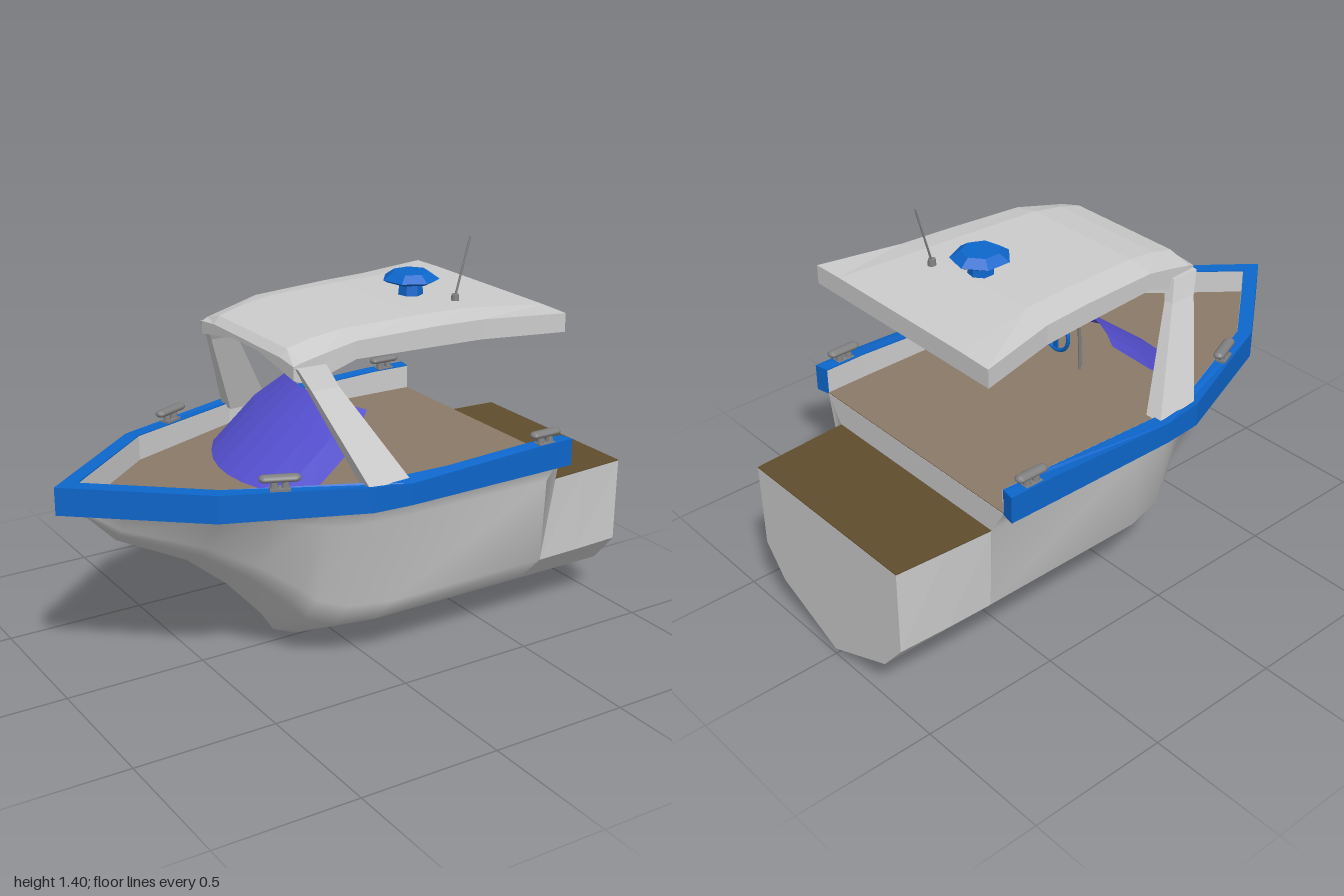
import * as THREE from 'three';

const GREY = 0xcccccc, METAL = 0x808080, BLUE = 0x0d66cb, DECK = 0x8a7a68, TEAK = 0x5f4d2d, GLASS = 0x5550d0;

function part(parent, name, geometry, color, flat = true) {
  const material = new THREE.MeshStandardMaterial({ color, flatShading: flat, side: THREE.DoubleSide });
  const mesh = new THREE.Mesh(geometry, material);
  mesh.name = name;
  parent.add(mesh);
  return mesh;
}

// Skin over a row of cross-sections, each a list of [x, y, z]
function loft(sections, { closed = true, caps = true } = {}) {
  const n = sections[0].length, pos = sections.flat(2), index = [];
  for (let s = 0; s < sections.length - 1; s++) {
    for (let i = 0; i < (closed ? n : n - 1); i++) {
      const a = s * n + i, b = s * n + (i + 1) % n;
      index.push(a, b, a + n, b, b + n, a + n);
    }
  }
  if (caps) {
    const start = pos.length / 3, end = start + n;
    pos.push(...sections[0].flat(), ...sections.at(-1).flat());
    for (let i = 1; i < n - 1; i++) {
      index.push(start, start + i + 1, start + i, end, end + i, end + i + 1);
    }
  }
  const g = new THREE.BufferGeometry();
  g.setAttribute('position', new THREE.Float32BufferAttribute(pos, 3));
  g.setIndex(index);
  g.computeVertexNormals();
  return g;
}

// Half profile [y, z] from top to bottom, mirrored into a full section at x
function mirrored(x, half) {
  const left = half.map(([y, z]) => [x, y, z]);
  const right = half.filter(([, z]) => z > 0).reverse().map(([y, z]) => [x, y, -z]);
  return [...left, ...right];
}

// Flat outline in x and z, extruded downwards from y = 0
function slab(points, depth) {
  const shape = new THREE.Shape(points.map(([x, z]) => new THREE.Vector2(x, z)));
  const g = new THREE.ExtrudeGeometry(shape, { depth, bevelEnabled: false });
  return g.rotateX(Math.PI / 2);
}

const OUTER = [[-1, 0], [-0.6, 0.33], [-0.14, 0.51], [0, 0.52], [0.5, 0.513], [0.66, 0.51]];
const INNER = [[-0.92, 0], [-0.57, 0.29], [-0.13, 0.46], [0, 0.465], [0.5, 0.463], [0.65, 0.46]];
const bothSides = (half) => [...half.slice(1).reverse().map(([x, z]) => [x, -z]), ...half];
const railTop = (x) => (x > -0.2 && x < -0.1 ? 0.735 : x > -0.05 && x < 0.1 ? 0.725 : 0.745);

function addHull(boat) {
  // Stations: x, keel height, half width at the rail, sharpness of the V
  const stations = [
    [-0.92, 0.645, 0.005, 1], [-0.8, 0.52, 0.1, 1], [-0.55, 0.39, 0.3, 0.9], [-0.4, 0.265, 0.355, 0.7],
    [-0.27, 0.12, 0.405, 0.45], [-0.22, 0.045, 0.42, 0.35], [-0.13, 0.006, 0.455, 0.2], [0.02, 0, 0.46, 0],
    [0.65, 0, 0.46, 0],
  ];
  const rows = [[1, 1, 1], [0.855, 0.87, 0.8], [0.385, 0.835, 0.5], [0.215, 0.61, 0.32], [0, 0, 0]];
  const sections = stations.map(([x, keel, w, v]) => mirrored(x, rows.map(([h, full, sharp]) =>
    [keel + (0.652 - keel) * h, w * THREE.MathUtils.lerp(full, sharp, v)])));
  part(boat, 'hull', loft(sections, { closed: false }), GREY, false);

  // Stern extension with a swim platform on top
  const stern = [[0.65, 0, 0.398, 0.384], [0.82, 0.004, 0.388, 0.38], [1, 0.02, 0.374, 0.372]].map(([x, keel, top, bilge]) =>
    mirrored(x, [[0.553, top], [0.25, bilge], [0.14, 0.28], [keel, 0]]));
  part(boat, 'sternExtension', loft(stern, { closed: false }), GREY);
  part(boat, 'swimPlatform', slab([[0.65, -0.398], [1, -0.374], [1, 0.374], [0.65, 0.398]], 0.003), TEAK).position.y = 0.556;

  part(boat, 'deck', slab(bothSides(INNER), 0.004), DECK).position.y = 0.657;

  // Gunwale band, dipping slightly amidships
  const band = slab([...bothSides(OUTER), ...bothSides(INNER).reverse()], 0.095).translate(0, 0.745, 0);
  const p = band.attributes.position;
  for (let i = 0; i < p.count; i++) if (p.getY(i) > 0.7) p.setY(i, railTop(p.getX(i)));
  band.computeVertexNormals();
  part(boat, 'gunwale', band, BLUE);

  const liner = [0.655, null].map((y) => bothSides(INNER).map(([x, z]) =>
    [x + (z ? 0 : 0.004), y ?? railTop(x) - 0.002, z * 0.994]));
  part(boat, 'bulwarkLiner', loft(liner, { closed: false, caps: false }), GREY);
}

function addCanopy(boat) {
  // Stations: x, half width, crown, edge, lower edge, underside
  const roof = [
    [-0.31, 0.305, 1.115, 1.105, 1.06, 1.1], [-0.285, 0.31, 1.14, 1.115, 1.05, 1.1],
    [-0.2, 0.315, 1.162, 1.135, 1.06, 1.1], [-0.09, 0.325, 1.178, 1.16, 1.1, 1.102],
    [0.2, 0.345, 1.184, 1.168, 1.1, 1.1], [0.38, 0.36, 1.183, 1.168, 1.1, 1.1], [0.67, 0.43, 1.166, 1.163, 1.098, 1.098],
  ].map(([x, w, crown, edge, low, under]) =>
    mirrored(x, [[crown, 0], [crown, w * 0.72], [edge, w], [low, w], [under, 0.2], [under, 0]]));
  part(boat, 'canopy', loft(roof), GREY);

  for (const s of [1, -1]) {
    const leg = [[0.72, -0.14, 0.015, 0.43, 0.495], [1.03, -0.27, -0.17, 0.315, 0.35], [1.1, -0.305, -0.2, 0.275, 0.325]]
      .map(([y, x0, x1, z0, z1]) => [[x1, y, s * z1], [x1, y, s * z0], [x0, y, s * z0], [x0, y, s * z1]]);
    part(boat, s > 0 ? 'leftCanopyLeg' : 'rightCanopyLeg', loft(leg), GREY);
  }
}

function addHelm(boat) {
  // Raked windshield, bowed towards the bow
  const glass = [[-0.385, -0.27, 0.66, 0.66, 0.32], [-0.21, -0.1, 0.8, 0.8, 0.32], [-0.08, 0, 0.905, 0.893, 0.25]]
    .map(([xc, xe, yc, ye, w]) => Array.from({ length: 9 }, (_, i) => {
      const u = i / 4 - 1;
      return [xc + (xe - xc) * u * u, yc + (ye - yc) * u * u, w * u];
    }));
  part(boat, 'windshield', loft(glass, { closed: false, caps: false }), GLASS);

  const wheel = new THREE.Group();
  wheel.name = 'steeringWheel';
  wheel.position.set(0.025, 0.845, 0);
  wheel.rotation.y = Math.PI / 2;
  part(wheel, 'rim', new THREE.TorusGeometry(0.062, 0.007, 8, 28), BLUE, false);
  part(wheel, 'hub', new THREE.CylinderGeometry(0.016, 0.016, 0.014, 14).rotateX(Math.PI / 2), BLUE);
  for (let i = 0; i < 3; i++) {
    const spoke = new THREE.BoxGeometry(0.02, 0.056, 0.006).translate(0, 0.032, 0);
    part(wheel, 'spoke', spoke.rotateZ(Math.PI / 2 + i * Math.PI * 2 / 3 - Math.PI / 6), BLUE);
  }
  boat.add(wheel);

  const path = new THREE.CatmullRomCurve3([[0.025, 0.845], [-0.03, 0.865], [-0.075, 0.835], [-0.085, 0.76], [-0.085, 0.655]]
    .map(([x, y]) => new THREE.Vector3(x, y, 0)));
  part(boat, 'steeringColumn', new THREE.TubeGeometry(path, 20, 0.006, 8), METAL, false);
}

function addRoofGear(boat) {
  const dome = [[0, 0], [0.045, 0], [0.04, 0.05], [0.082, 0.05], [0.1, 0.06], [0.065, 0.084], [0, 0.084]]
    .map(([r, y]) => new THREE.Vector2(r, y));
  part(boat, 'radarDome', new THREE.LatheGeometry(dome, 7), BLUE).position.set(0.33, 1.178, 0.012);

  part(boat, 'antennaBase', new THREE.CylinderGeometry(0.013, 0.015, 0.025, 10), METAL).position.set(0.413, 1.19, 0.158);
  const whip = part(boat, 'antenna', new THREE.CylinderGeometry(0.003, 0.004, 0.21, 8), METAL, false);
  whip.position.set(0.441, 1.295, 0.158);
  whip.rotation.z = -0.27;
}

function addCleat(boat, x, y, z, length, turn) {
  const cleat = new THREE.Group();
  cleat.name = 'cleat';
  const bar = new THREE.CapsuleGeometry(0.018, length - 0.036, 4, 10).rotateZ(Math.PI / 2).scale(1, 0.7, 1.1);
  part(cleat, 'bar', bar, METAL, false).position.y = 0.035;
  for (const s of [1, -1]) {
    part(cleat, 'post', new THREE.CylinderGeometry(0.01, 0.015, 0.04, 8), METAL).position.set(s * 0.018, 0.012, 0);
  }
  part(cleat, 'foot', new THREE.BoxGeometry(0.065, 0.008, 0.035), METAL);
  cleat.position.set(x, y, z);
  cleat.rotation.y = turn;
  boat.add(cleat);
}

export function createModel() {
  const boat = new THREE.Group();
  boat.name = 'motorBoat';
  addHull(boat);
  addCanopy(boat);
  addHelm(boat);
  addRoofGear(boat);
  for (const s of [1, -1]) {
    addCleat(boat, -0.405, 0.745, s * 0.378, 0.135, -s * 0.4);
    addCleat(boat, 0.56, 0.742, s * 0.487, 0.12, 0);
  }
  return boat;
}
